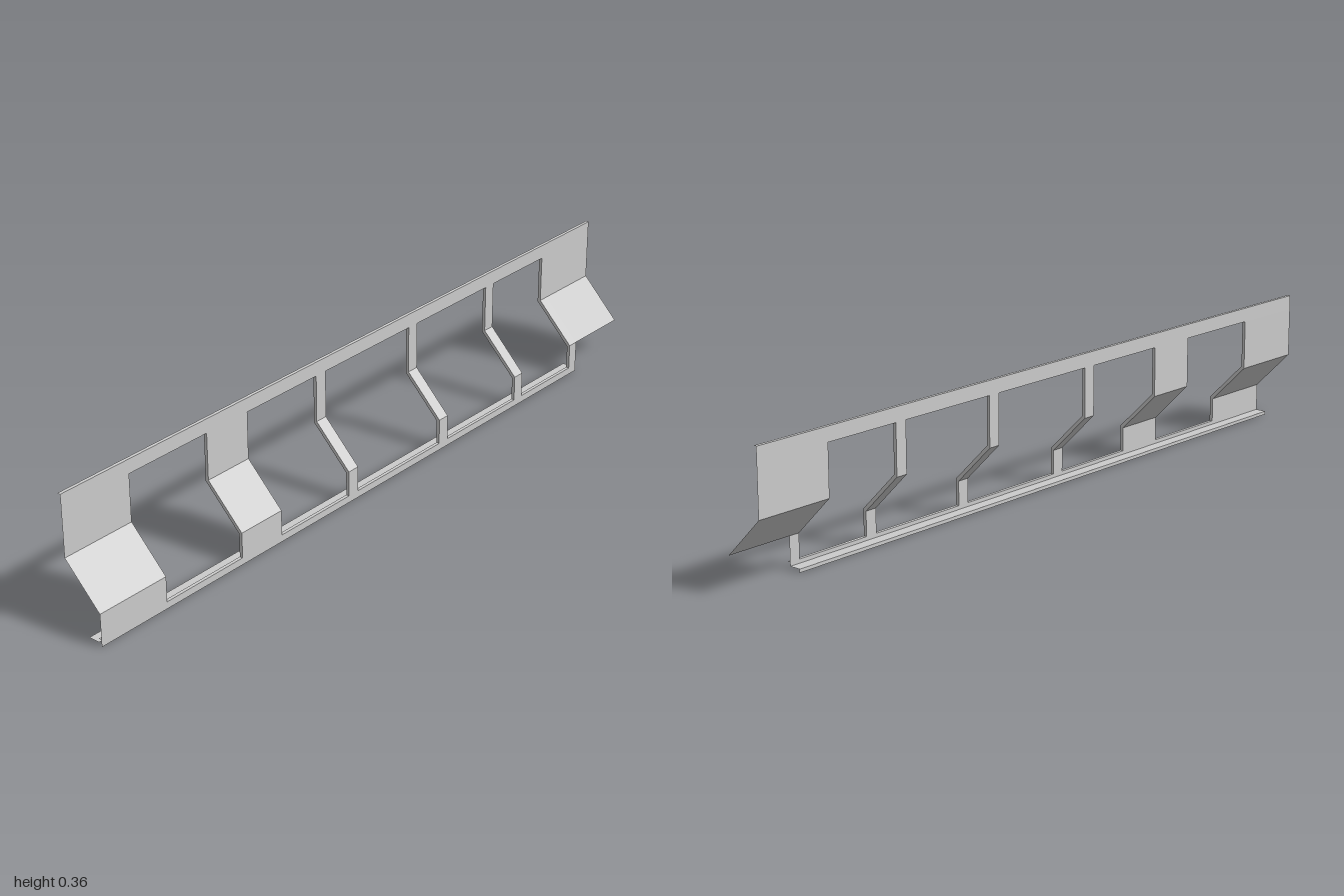
import * as THREE from 'three';

const material = new THREE.MeshStandardMaterial({ color: 0xcccccc, flatShading: true });

// Sweep a closed [z, y] loop (counter-clockwise seen from +x) from x0 to x1.
// capL / capR close the -x / +x ends; skip lists loop edges left open.
function sweep(name, loop, x0, x1, { capL = false, capR = false, skip = [] } = {}) {
  const pos = [];
  const put = (x, [z, y]) => pos.push(x, y, z);
  loop.forEach((a, i) => {
    if (skip.includes(i)) return;
    const b = loop[(i + 1) % loop.length];
    put(x0, a); put(x0, b); put(x1, b);
    put(x0, a); put(x1, b); put(x1, a);
  });
  const flat = loop.map(([z, y]) => new THREE.Vector2(-z, y));
  for (const [i, j, k] of THREE.ShapeUtils.triangulateShape(flat, [])) {
    if (capR) [i, j, k].forEach((n) => put(x1, loop[n]));
    if (capL) [i, k, j].forEach((n) => put(x0, loop[n]));
  }
  const geometry = new THREE.BufferGeometry();
  geometry.setAttribute('position', new THREE.Float32BufferAttribute(pos, 3));
  geometry.computeVertexNormals();
  const mesh = new THREE.Mesh(geometry, material);
  mesh.name = name;
  return mesh;
}

export function createModel() {
  const group = new THREE.Group();
  group.name = 'bentFramePanel';

  // Plate planes: upper part set back, lower part forward
  const backZ = -0.057, upperZ = -0.048, innerZ = 0.049, frontZ = 0.058;
  const low = 0.019, high = 0.322, top = 0.36, endX = 0.815;

  // Z-shaped strip between the two rails, edges 0 and 4 meet the rails
  const strip = [
    [frontZ, low], [innerZ, low], [innerZ, 0.083], [backZ, 0.189],
    [backZ, high], [upperZ, high], [upperZ, 0.194], [frontZ, 0.088],
  ];
  const open = { skip: [0, 4] };

  // Uprights between the windows
  const uprights = [
    ['rightEndPanel', -1, -0.79, false],
    ['wideUpright', -0.535, -0.395, true],
    ['narrowUpright1', -0.146, -0.111, true],
    ['narrowUpright2', 0.213, 0.247, true],
    ['narrowUpright3', 0.535, 0.568, true],
  ];
  for (const [name, x0, x1, capL] of uprights) {
    group.add(sweep(name, strip, x0, x1, { ...open, capL, capR: true }));
  }

  // Left end: short full-height tab, then a panel cut off under the slope
  group.add(sweep('leftEndTab', strip, 0.785, endX, { ...open, capL: true }));
  const cutStrip = [
    [frontZ, 0.088], [innerZ, 0.083], [backZ, 0.189],
    [backZ, high], [upperZ, high], [upperZ, 0.194],
  ];
  group.add(sweep('leftEndPanel', cutStrip, endX, 1, { skip: [0, 3] }));

  // Top rail
  group.add(sweep('topRail', [[upperZ, high], [backZ, high], [backZ, top], [upperZ, top]], -1, 1));

  // Bottom rail with a flange folded to the back
  const angle = [
    [frontZ, 0], [0.018, 0], [0.018, 0.009], [innerZ, 0.009], [innerZ, low], [frontZ, low],
  ];
  group.add(sweep('bottomRail', angle, -1, endX));

  return group;
}
